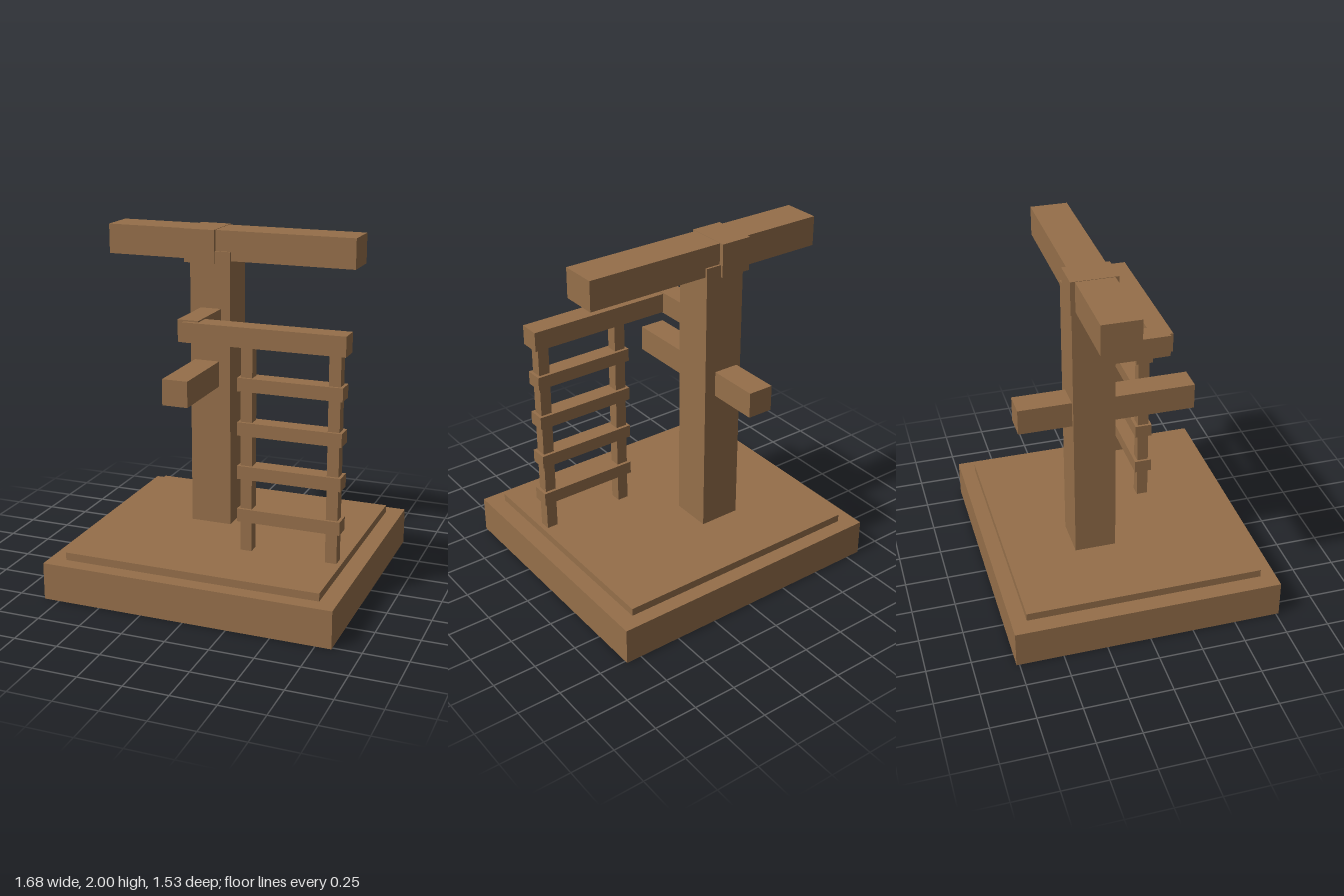
import * as THREE from 'three';

export function createModel() {
  const model = new THREE.Group();
  model.name = 'ladderStand';
  const wood = new THREE.MeshStandardMaterial({ color: 0x956f4a });
  wood.name = 'brown wood';

  // Axis-aligned beam given by its extents [min, max] on each axis
  function beam(name, [x0, x1], [y0, y1], [z0, z1], parent = model) {
    const mesh = new THREE.Mesh(new THREE.BoxGeometry(x1 - x0, y1 - y0, z1 - z0), wood);
    mesh.position.set((x0 + x1) / 2, (y0 + y1) / 2, (z0 + z1) / 2);
    mesh.name = name;
    parent.add(mesh);
  }

  // Stepped base
  beam('base', [-0.84, 0.84], [0, 0.215], [-0.767, 0.767]);
  beam('baseStep', [-0.742, 0.742], [0.215, 0.26], [-0.68, 0.68]);

  // Post with its top beam and collar
  beam('post', [-0.28, -0.038], [0.26, 1.88], [-0.283, -0.045]);
  beam('topBeam', [-0.788, 0.683], [1.828, 1.998], [-0.27, -0.057]);
  beam('topCollar', [-0.312, -0.131], [1.81, 2], [-0.296, -0.035]);

  // Bar through the post, and the arm that reaches out to the ladder
  beam('crossBar', [-0.255, -0.106], [1.1, 1.248], [-0.585, 0.418]);
  beam('ladderArm', [-0.216, -0.094], [1.43, 1.555], [-0.1, 0.285]);

  // Hanging ladder
  const ladder = new THREE.Group();
  ladder.name = 'ladder';
  model.add(ladder);
  beam('ladderBeam', [-0.18, 0.746], [1.435, 1.547], [0.19, 0.31], ladder);
  for (const x of [0.186, 0.682]) {
    beam('ladderRail', [x - 0.033, x + 0.033], [0.26, 1.435], [0.22, 0.286], ladder);
  }
  for (let i = 0; i < 4; i++) {
    const y = 0.473 + i * 0.2515;
    beam('rung', [0.138, 0.732], [y - 0.038, y + 0.038], [0.202, 0.302], ladder);
  }
  return model;
}
